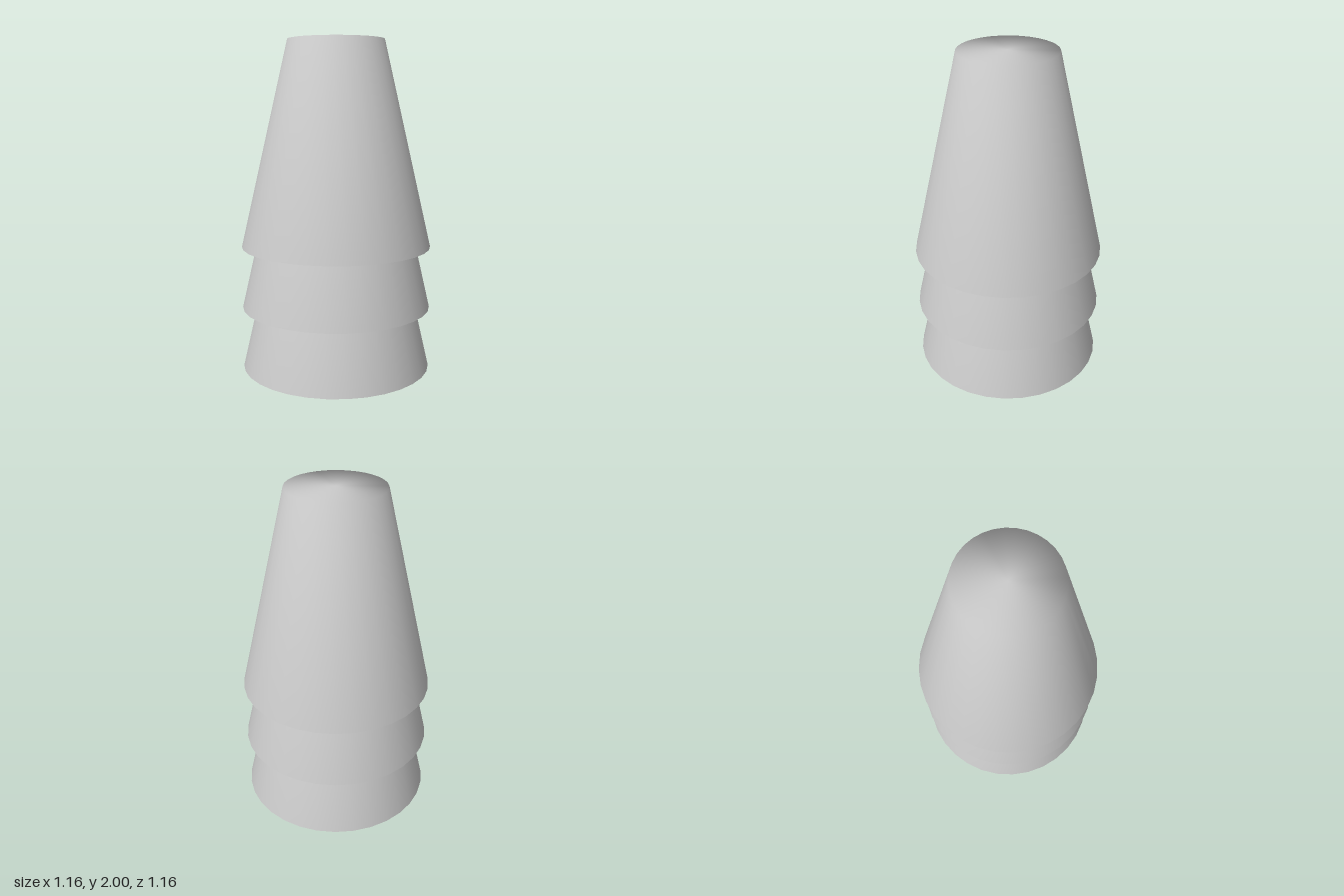
import * as THREE from 'three';

const CUP_HEIGHT = 1.244;
const CUP_STEP = 0.378;
const RIM_RADIUS = 0.578;
const BASE_RADIUS = 0.29;
const SIDES = 32;

export function createModel() {
  const group = new THREE.Group();
  group.name = 'stackedCups';

  const material = new THREE.MeshStandardMaterial({ color: 0xcccccc, side: THREE.DoubleSide });

  // Thin upside-down cup: open rim below, closed base on top, smooth over the edge
  const profile = [
    new THREE.Vector2(RIM_RADIUS, 0),
    new THREE.Vector2(BASE_RADIUS, CUP_HEIGHT),
    new THREE.Vector2(0, CUP_HEIGHT),
  ];
  const cupGeometry = new THREE.LatheGeometry(profile, SIDES);

  // Three identical cups nested over one another
  ['lowerCup', 'middleCup', 'upperCup'].forEach((name, i) => {
    const cup = new THREE.Mesh(cupGeometry, material);
    cup.name = name;
    cup.position.y = i * CUP_STEP;
    group.add(cup);
  });

  return group;
}
